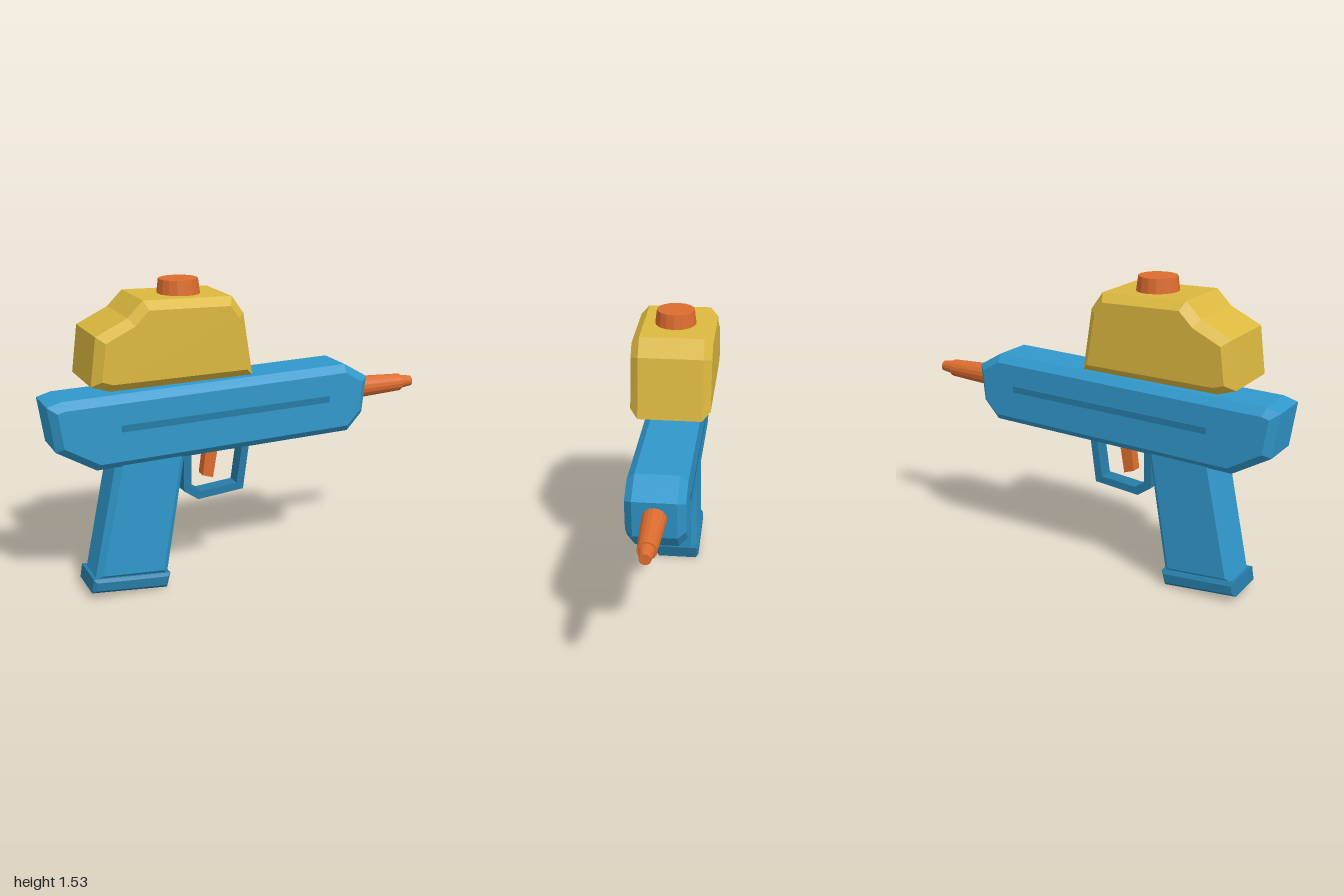
import * as THREE from 'three';

const paint = (name, color) => {
  const m = new THREE.MeshStandardMaterial({ color });
  m.name = name;
  return m;
};

export function createModel() {
  const blue = paint('blue plastic', 0x3098cb);
  const darkBlue = paint('dark blue plastic', 0x267ca7);
  const yellow = paint('yellow plastic', 0xdcb83f);
  const orange = paint('orange plastic', 0xdc6c2f);

  const group = new THREE.Group();
  group.name = 'waterBlaster';

  const add = (name, geometry, material) => {
    const mesh = new THREE.Mesh(geometry, material);
    mesh.name = name;
    group.add(mesh);
    return mesh;
  };

  // Side outline extruded across z, with chamfers cut inside the outline
  const slab = (name, points, half, bevel, material) => {
    const shape = new THREE.Shape(points.map(([x, y]) => new THREE.Vector2(x, y)));
    const depth = 2 * (half - bevel);
    const geometry = new THREE.ExtrudeGeometry(shape, {
      depth,
      bevelEnabled: bevel > 0,
      bevelThickness: bevel,
      bevelSize: bevel,
      bevelOffset: -bevel,
      bevelSegments: 1,
    });
    geometry.translate(0, 0, -depth / 2);
    return add(name, geometry, material);
  };

  // Faceted tapered cylinder
  const taper = (name, rTop, rBottom, height, material) => {
    const geometry = new THREE.CylinderGeometry(rTop, rBottom, height, 16).toNonIndexed();
    geometry.computeVertexNormals();
    return add(name, geometry, material);
  };

  // Main housing and its side ribs
  slab('body', [
    [-1, 1.0], [-0.93, 1.02], [0.54, 1.055], [0.668, 0.98],
    [0.648, 0.79], [0.565, 0.7], [-0.775, 0.667], [-0.968, 0.78],
  ], 0.14, 0.037, blue);
  slab('sideRibs', [
    [-0.655, 0.853], [0.435, 0.875], [0.435, 0.907], [-0.655, 0.885],
  ], 0.147, 0, darkBlue);

  // Water tank with filler cap
  slab('tank', [
    [-0.805, 1.09], [-0.775, 1.32], [-0.62, 1.395], [-0.545, 1.47],
    [-0.107, 1.46], [-0.047, 1.375], [0, 1.07], [-0.715, 1.06],
  ], 0.2, 0.04, yellow);
  taper('tankCap', 0.095, 0.107, 0.095, orange).position.set(-0.315, 1.4875, 0);

  // Handle and its foot
  slab('grip', [
    [-0.8, 0.095], [-0.665, 0.74], [-0.315, 0.75], [-0.43, 0.065],
  ], 0.11, 0.03, blue);
  slab('gripBase', [
    [-0.815, 0.11], [-0.826, 0.04], [-0.44, 0.003], [-0.42, 0.077],
  ], 0.12, 0.015, darkBlue);

  // Trigger inside its guard
  slab('triggerGuard', [
    [-0.315, 0.72], [-0.315, 0.47], [-0.24, 0.418], [0.005, 0.44], [0.044, 0.72],
    [0.006, 0.72], [-0.03, 0.475], [-0.225, 0.458], [-0.275, 0.492], [-0.275, 0.72],
  ], 0.04, 0, darkBlue);
  slab('trigger', [
    [-0.185, 0.72], [-0.12, 0.72], [-0.155, 0.518], [-0.21, 0.537],
  ], 0.028, 0, orange);

  // Stepped nozzle pointing along +x
  const barrel = taper('nozzle', 0.045, 0.06, 0.31, orange);
  barrel.rotation.z = -Math.PI / 2;
  barrel.position.set(0.775, 0.895, 0);
  const tip = taper('nozzleTip', 0.027, 0.038, 0.08, orange);
  tip.rotation.z = -Math.PI / 2;
  tip.position.set(0.96, 0.896, 0);

  return group;
}
